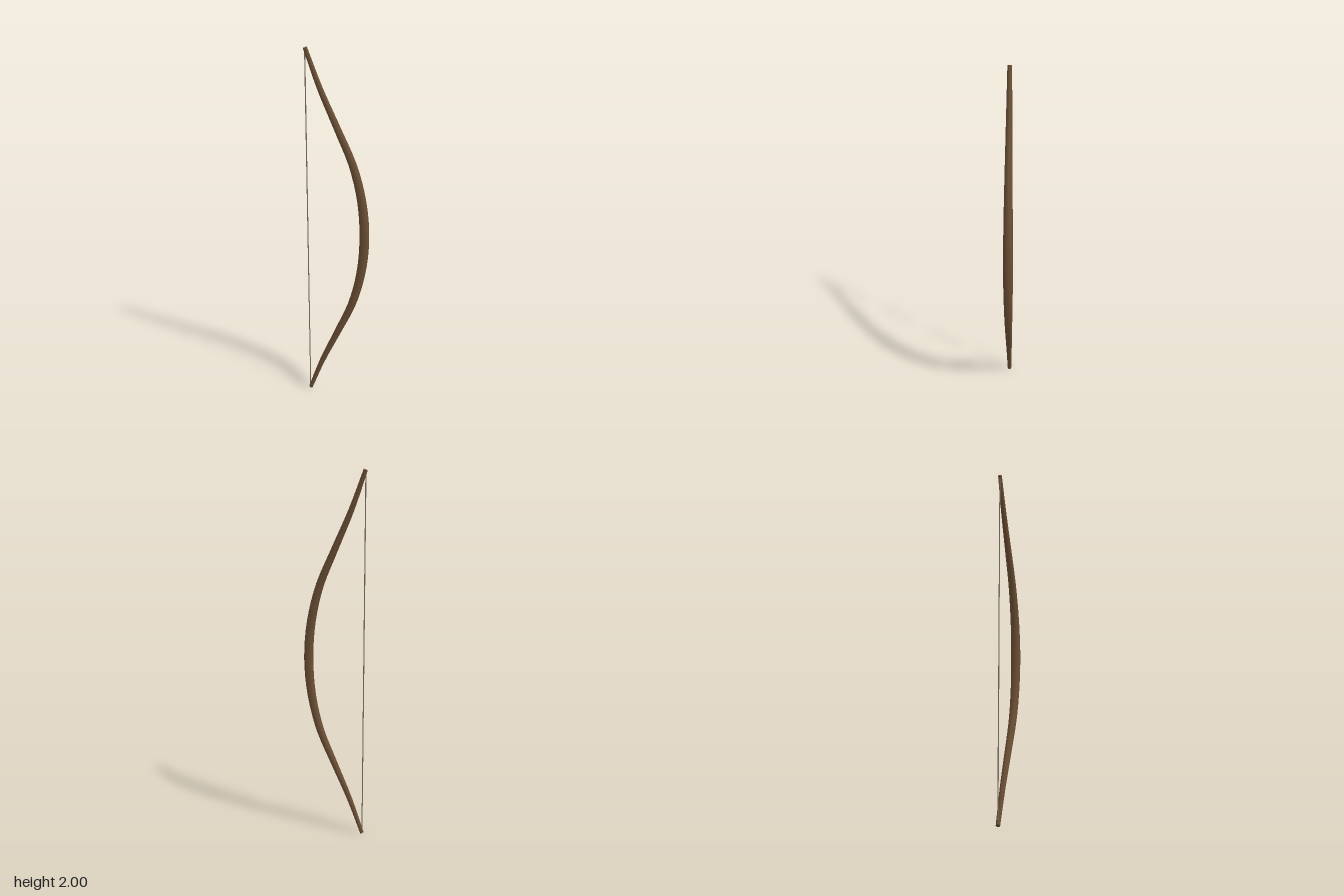
import * as THREE from 'three';

const SIDES = 8, RINGS = 40;

// Limb thickness: stout at the grip, slim at the tips
const radiusAt = (y) => 0.0265 - 0.0155 * Math.pow(Math.min(1, Math.abs(y - 1)), 1.3);

export function createModel() {
  const bow = new THREE.Group();
  bow.name = 'bow';
  const wood = new THREE.MeshStandardMaterial({ color: 0x6b4f35 });
  const cord = new THREE.MeshStandardMaterial({ color: 0x80766a });

  // Recurved centre line, mirrored about the grip
  const half = [[-0.162, 0.996], [-0.09, 0.8], [0, 0.595], [0.083, 0.4], [0.131, 0.2]];
  const points = [
    ...half.map(([x, d]) => new THREE.Vector3(x, 1 - d, 0)),
    new THREE.Vector3(0.146, 1, 0),
    ...half.slice().reverse().map(([x, d]) => new THREE.Vector3(x, 1 + d, 0)),
  ];
  const curve = new THREE.CatmullRomCurve3(points);

  // Tapered stave: scale each ring of a unit tube about its centre
  const geometry = new THREE.TubeGeometry(curve, RINGS, 1, SIDES, false);
  const pos = geometry.attributes.position;
  const v = new THREE.Vector3();
  for (let i = 0; i <= RINGS; i++) {
    const c = curve.getPointAt(i / RINGS);
    for (let j = 0; j <= SIDES; j++) {
      const k = i * (SIDES + 1) + j;
      v.fromBufferAttribute(pos, k).sub(c).multiplyScalar(radiusAt(c.y)).add(c);
      pos.setXYZ(k, v.x, v.y, v.z);
    }
  }
  const stave = new THREE.Mesh(geometry, wood);
  stave.name = 'stave';
  bow.add(stave);

  // Flat ends of the limbs
  for (const [name, t, dir] of [['lowerTip', 0, -1], ['upperTip', 1, 1]]) {
    const c = curve.getPointAt(t);
    const tip = new THREE.Mesh(new THREE.CircleGeometry(radiusAt(c.y), SIDES), wood);
    tip.name = name;
    tip.position.copy(c);
    tip.lookAt(c.clone().addScaledVector(curve.getTangentAt(t), dir));
    bow.add(tip);
  }

  // Straight string between the tips
  const string = new THREE.Mesh(new THREE.CylinderGeometry(0.003, 0.003, 1.98, 6), cord);
  string.name = 'bowString';
  string.position.set(-0.163, 1, 0);
  bow.add(string);

  return bow;
}
